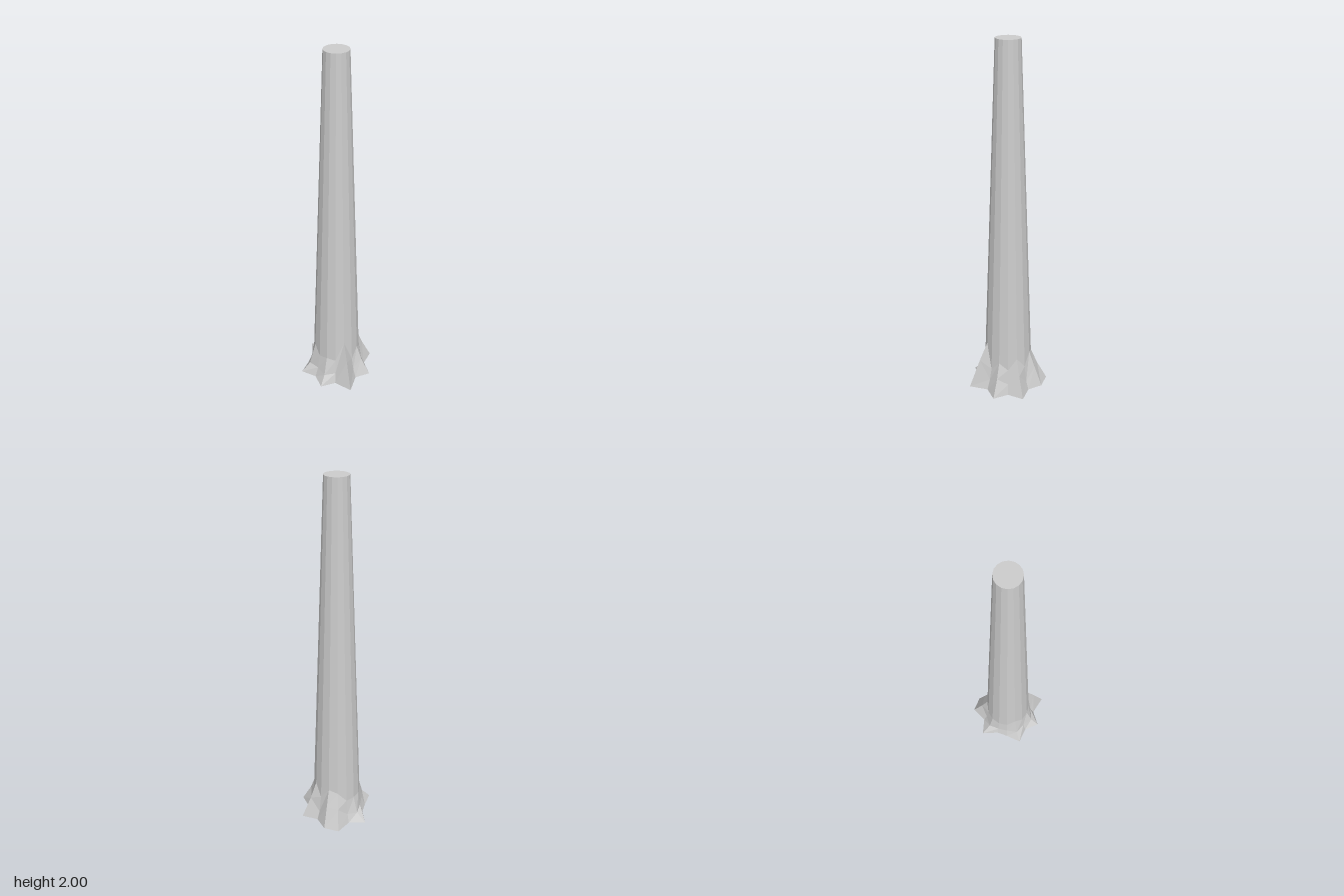
import * as THREE from 'three';

const SIDES = 16, CENTRE_X = 0.004, HEIGHT = 2;

// Straight taper of the trunk above the roots
const taper = (y) => 0.064 + (HEIGHT - y) * 0.0385;

// One entry per spoke, from +x towards +z:
// [height where the flare starts, kink radius, kink height, radius on the ground]
const spokes = [
  [0.13, 0.150, 0.06, 0.170], [0.28, 0.178, 0.17, 0.243],
  [0.15, 0.150, 0.06, 0.170], [0.16, 0.170, 0.05, 0.219],
  [0.15, 0.150, 0.06, 0.171], [0.20, 0.170, 0.06, 0.222],
  [0.15, 0.150, 0.06, 0.171], [0.14, 0.148, 0.05, 0.164],
  [0.14, 0.163, 0.04, 0.227], [0.14, 0.150, 0.05, 0.169],
  [0.20, 0.170, 0.11, 0.227], [0.22, 0.168, 0.12, 0.212],
  [0.15, 0.150, 0.05, 0.168], [0.22, 0.168, 0.12, 0.223],
  [0.15, 0.150, 0.06, 0.168], [0.19, 0.165, 0.10, 0.219],
];

// Skins a stack of rings, bottom to top, facing outwards
function skin(rings) {
  const pos = [], index = [];
  rings.forEach((ring) => ring.forEach(([r, y], k) => {
    const a = (k / SIDES) * Math.PI * 2;
    pos.push(CENTRE_X + r * Math.cos(a), y, r * Math.sin(a));
  }));
  const last = (rings.length - 1) * SIDES;
  const bottom = pos.length / 3, top = bottom + 1;
  pos.push(CENTRE_X, 0, 0, CENTRE_X, HEIGHT, 0);
  for (let k = 0; k < SIDES; k++) {
    const n = (k + 1) % SIDES;
    for (let o = 0; o < last; o += SIDES) {
      const a = o + k, b = o + n, c = a + SIDES, d = b + SIDES;
      index.push(a, c, b, b, c, d);
    }
    index.push(bottom, k, n, top, last + n, last + k);
  }
  const geometry = new THREE.BufferGeometry();
  geometry.setAttribute('position', new THREE.Float32BufferAttribute(pos, 3));
  geometry.setIndex(index);
  geometry.computeVertexNormals();
  return geometry;
}

export function createModel() {
  const group = new THREE.Group();
  group.name = 'treeTrunk';
  const material = new THREE.MeshStandardMaterial({ color: 0xcccccc, flatShading: true });

  // Tapered trunk flaring into pointed roots
  const trunk = new THREE.Mesh(skin([
    spokes.map(([, , , ground]) => [ground, 0]),
    spokes.map(([, r, y]) => [r, y]),
    spokes.map(([y]) => [taper(y), y]),
    spokes.map(() => [taper(0.32), 0.32]),
    spokes.map(() => [taper(HEIGHT), HEIGHT]),
  ]), material);
  trunk.name = 'trunkWithRoots';
  group.add(trunk);
  return group;
}
